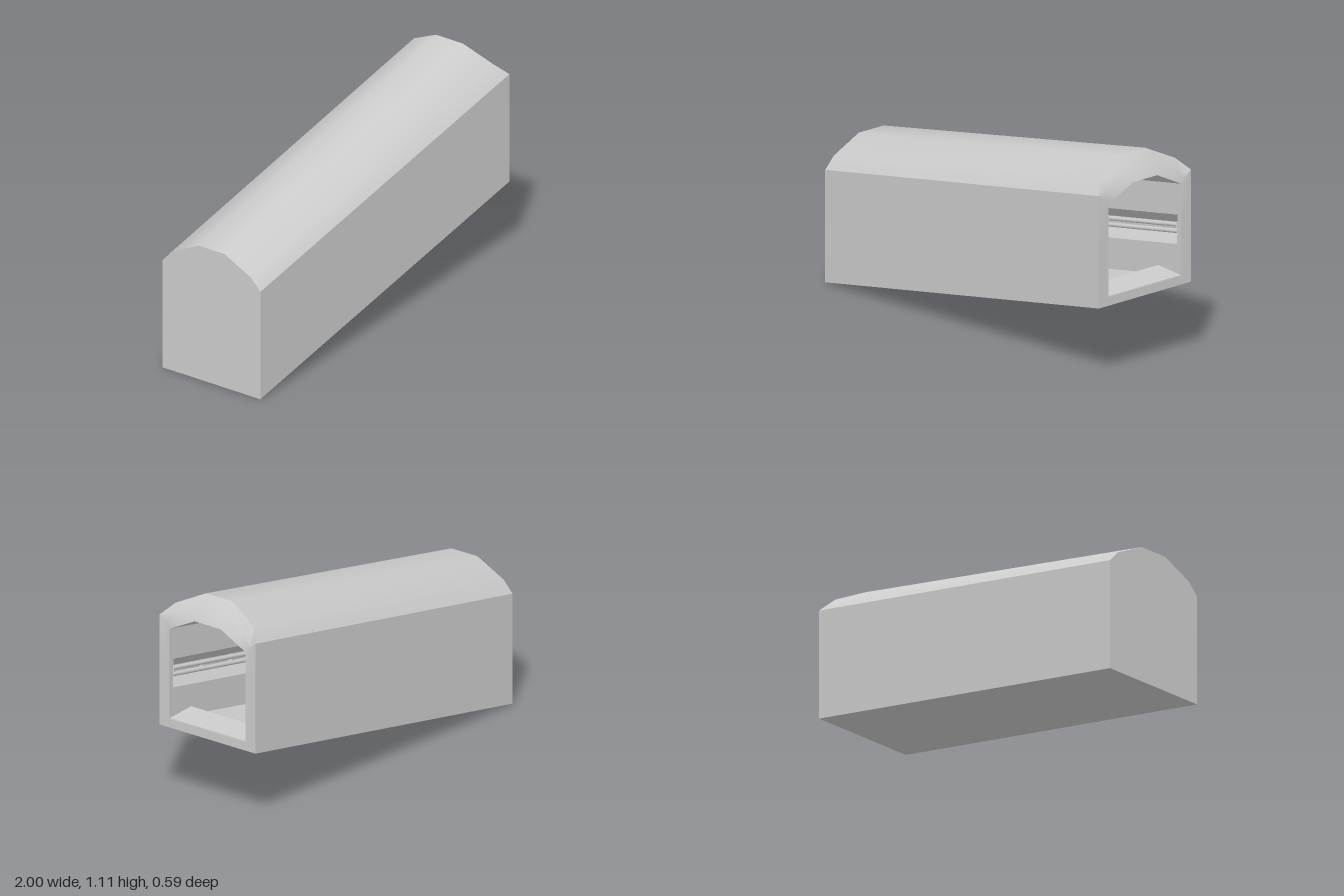
import * as THREE from 'three';
import { toCreasedNormals } from 'three/addons/utils/BufferGeometryUtils.js';

const SLOPE = 0.1975;
const base = (x) => SLOPE * (x + 1);
const material = new THREE.MeshStandardMaterial({ color: 0xcccccc });

// Half profiles as [z, height above the sloping base], from floor corner to crown
const wallSteps = [0.205, 0.255, 0.305, 0.355];
const OUTER = [[0.295, 0], ...wallSteps.map((h) => [0.295, h]), [0.295, 0.575], [0.24, 0.635], [0.08, 0.715]];
const OPENING = [[0.235, 0.045], ...wallSteps.map((h) => [0.235, h]), [0.235, 0.515], [0.18, 0.543], [0.08, 0.595]];
const INNER = [[0.235, 0.045], [0.235, 0.205], [0.28, 0.255], [0.28, 0.305], [0.235, 0.355],
  [0.235, 0.515], [0.18, 0.565], [0.06, 0.64]];
const INNER_FLAT = INNER.map(([z, h], i) => [i > 0 && i < 5 ? 0.235 : z, h]);

// Mirrors a half section of [x, y, z] points into a closed ring
function mirror(half) {
  return [...half, ...half.map(([x, y, z]) => [x, y, -z]).reverse()];
}
const ring = (profile, x) => mirror(profile.map(([z, h]) => [x, base(x) + h, z]));

// Skins consecutive rings and optionally closes the first or last one
function loft(rings, { capStart = false, capEnd = false } = {}) {
  const pos = [];
  const tri = (a, b, c) => pos.push(...a, ...b, ...c);
  for (let r = 0; r < rings.length - 1; r++) {
    const A = rings[r], B = rings[r + 1], n = A.length;
    for (let i = 0; i < n; i++) {
      const j = (i + 1) % n;
      tri(A[i], B[i], B[j]);
      tri(A[i], B[j], A[j]);
    }
  }
  const first = rings[0], last = rings[rings.length - 1];
  for (let i = 1; i < first.length - 1; i++) {
    if (capStart) tri(first[0], first[i], first[i + 1]);
    if (capEnd) tri(last[0], last[i + 1], last[i]);
  }
  const g = new THREE.BufferGeometry();
  g.setAttribute('position', new THREE.Float32BufferAttribute(pos, 3));
  return toCreasedNormals(g, 0.6);
}

export function createModel() {
  const model = new THREE.Group();
  model.name = 'slopingTunnel';
  const add = (name, geometry, parent = model) => {
    const mesh = new THREE.Mesh(geometry, material);
    mesh.name = name;
    parent.add(mesh);
    return mesh;
  };

  // Outer shell; the roof stops short of the mouth
  const mouth = OUTER.map(([z, h]) => [1, base(1) + h, z]);
  mouth[6] = [0.945, 1.028, 0.24];
  mouth[7] = [0.91, 1.107, 0.08];
  const outerEnd = mirror(mouth);
  add('outerShell', loft([ring(OUTER, -1), outerEnd], { capStart: true }));

  // Mouth frame with a bevelled hood, turned into the opening
  const lip = OUTER.map(([, h]) => [1, base(1) + h, 0.265]);
  lip[0] = [1, base(1) + 0.022, 0.265];
  lip[5] = [1, 0.942, 0.265];
  lip[6] = [0.98, 0.99, 0.21];
  lip[7] = [0.97, 1.045, 0.08];
  add('mouthFrame', loft([outerEnd, mirror(lip), ring(OPENING, 1), ring(OPENING, 0.97)]));

  // Vaulted interior with a niche along each wall and a closed far end
  add('interior', loft([ring(OPENING, 0.97), ring(INNER, 0.965), ring(INNER, -0.92),
    ring(INNER_FLAT, -0.925), ring(INNER_FLAT, -0.95)], { capEnd: true }));

  // Nearly level landing just inside the mouth
  const landing = new THREE.Shape([
    new THREE.Vector2(0.83, 0.395), new THREE.Vector2(0.995, 0.425),
    new THREE.Vector2(0.995, 0.442), new THREE.Vector2(0.83, 0.45),
  ]);
  add('landing', new THREE.ExtrudeGeometry(landing, { depth: 0.47, bevelEnabled: false })).position.z = -0.235;

  // Wide panel on the far wall
  add('farPanel', new THREE.BoxGeometry(0.02, 0.45, 0.44)).position.set(-0.945, 0.275, 0);

  // Rails with brackets inside each niche
  for (const side of [1, -1]) {
    const rails = new THREE.Group();
    rails.name = side > 0 ? 'leftRails' : 'rightRails';
    rails.position.set(0.02, base(0.02) + 0.28, side * 0.262);
    rails.rotation.z = Math.atan(SLOPE);
    model.add(rails);
    for (const y of [-0.016, 0.016]) {
      const rod = add('rail', new THREE.CylinderGeometry(0.011, 0.011, 1.88, 12), rails);
      rod.rotation.z = Math.PI / 2;
      rod.position.y = y;
    }
    for (let i = 0; i < 9; i++) {
      add('railBracket', new THREE.BoxGeometry(0.02, 0.045, 0.02), rails)
        .position.set(-0.92 + i * 0.23, 0, side * 0.008);
    }
  }
  return model;
}
